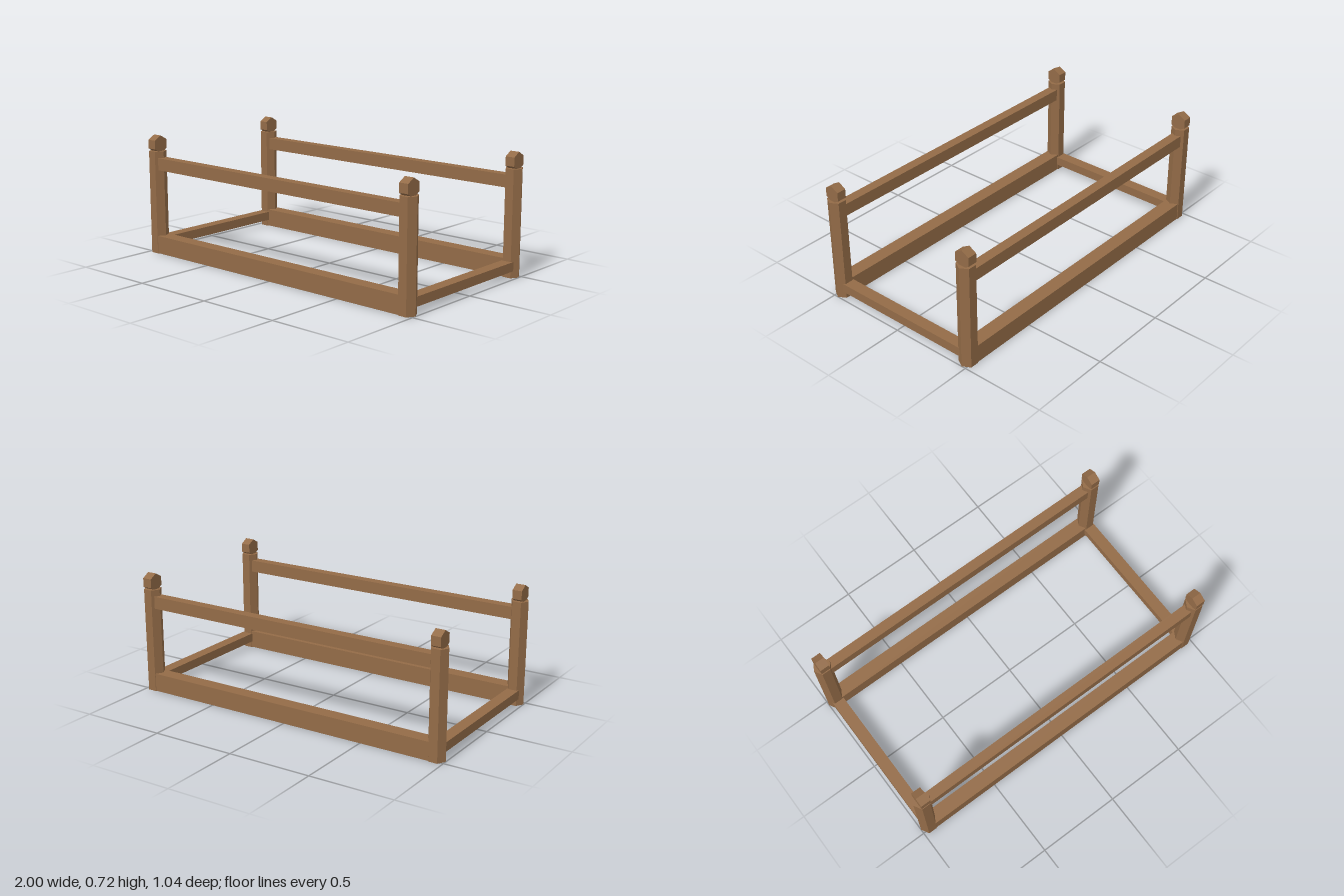
import * as THREE from 'three';

export function createModel() {
  const model = new THREE.Group();
  model.name = 'timberFrame';

  const wood = new THREE.MeshStandardMaterial({ color: 0x936b47, flatShading: true });
  wood.name = 'brown wood';

  const X = 0.9475, Z = 0.474, R = 0.0525, POST_H = 0.622;

  const add = (name, geometry, x, y, z) => {
    const mesh = new THREE.Mesh(geometry, wood);
    mesh.name = name;
    mesh.position.set(x, y, z);
    model.add(mesh);
  };

  // Hexagonal post with corners pointing sideways
  const post = new THREE.CylinderGeometry(R, R, POST_H, 6).rotateY(Math.PI / 6);
  // Hexagonal cap lying along x, with a corner on top
  const cap = new THREE.CylinderGeometry(R, R, 0.057, 6)
    .rotateZ(Math.PI / 2).rotateX(Math.PI / 2);
  // Long and short beams, their ends buried in the posts
  const upperRail = new THREE.BoxGeometry(2 * X, 0.073, 0.06);
  const lowerBeam = new THREE.BoxGeometry(2 * X, 0.107, 0.085);
  const crossBeam = new THREE.BoxGeometry(0.07, 0.054, 2 * Z);

  for (const sz of [1, -1]) {
    const end = sz > 0 ? 'front' : 'back';
    add(end + 'UpperRail', upperRail, 0, 0.547, sz * Z);
    add(end + 'LowerBeam', lowerBeam, 0, 0.0555, sz * Z);
    for (const sx of [1, -1]) {
      const side = sx > 0 ? 'Left' : 'Right';
      add(end + side + 'Post', post, sx * X, POST_H / 2, sz * Z);
      add(end + side + 'Cap', cap, sx * X, 0.663, sz * Z);
    }
  }

  // Cross beams joining front and back
  for (const sx of [1, -1]) {
    add(sx > 0 ? 'leftCrossBeam' : 'rightCrossBeam', crossBeam, sx * X, 0.067, 0);
  }

  return model;
}
